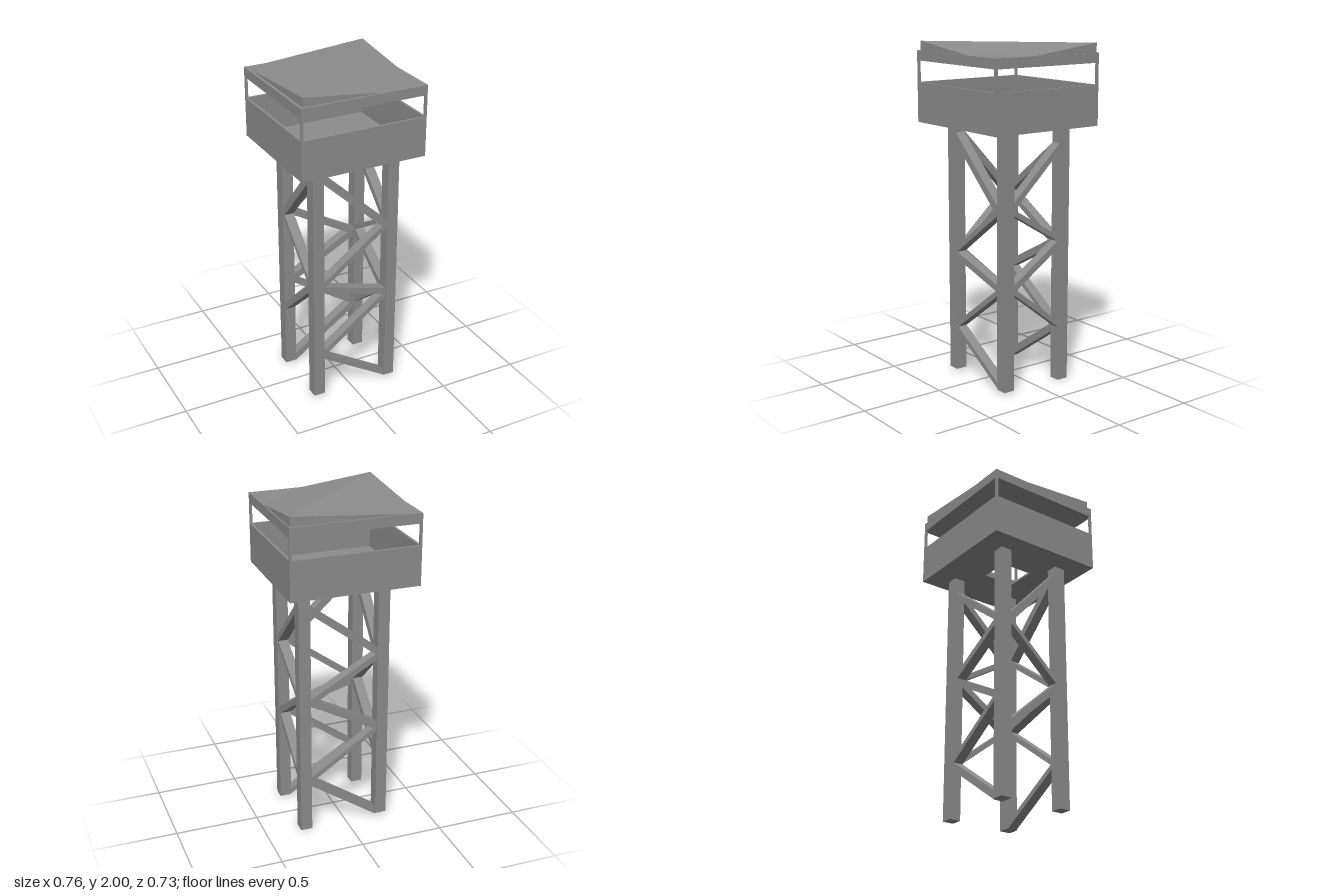
import * as THREE from 'three';

export function createModel() {
  const model = new THREE.Group();
  const gray = new THREE.MeshStandardMaterial({ color: 0x8c8c8c, flatShading: true });
  gray.name = 'weathered gray';

  const add = (name, geometry) => {
    const mesh = new THREE.Mesh(geometry, gray);
    mesh.name = name;
    model.add(mesh);
    return mesh;
  };
  // Box given by its minimum and maximum corners
  const block = (name, x0, x1, y0, y1, z0, z1) => {
    const mesh = add(name, new THREE.BoxGeometry(x1 - x0, y1 - y0, z1 - z0));
    mesh.position.set((x0 + x1) / 2, (y0 + y1) / 2, (z0 + z1) / 2);
    return mesh;
  };

  // Legs
  const LX = -0.225, RX = 0.255, FZ = 0.205, BZ = -0.195, H = 0.035;
  for (const [name, x, z, foot] of [
    ['frontLeftLeg', RX, FZ, 0.012], ['frontRightLeg', LX, FZ, 0.017],
    ['backLeftLeg', RX, BZ, 0], ['backRightLeg', LX, BZ, 0.015],
  ]) block(name, x - H, x + H, foot, 1.535, z - H, z + H);

  // Diagonal braces: heights at both inner leg faces, then bar thickness
  const DEPTH = 0.06;
  const brace = (name, from, to, thick) => {
    const a = new THREE.Vector3(...from), b = new THREE.Vector3(...to);
    const dir = b.clone().sub(a);
    const mesh = add(name, new THREE.BoxGeometry(DEPTH, thick, dir.length() + 0.03));
    mesh.position.copy(a).add(b).multiplyScalar(0.5);
    mesh.lookAt(mesh.position.clone().add(dir));
  };
  const xBraces = (name, z, rows) => rows.forEach(([y0, y1, t]) =>
    brace(name, [LX + H, y0, z], [RX - H, y1, z], t));
  const zBraces = (name, x, rows) => rows.forEach(([y0, y1, t]) =>
    brace(name, [x, y0, FZ - H], [x, y1, BZ + H], t));

  xBraces('frontBrace', FZ, [
    [1.45, 1.07, 0.045], [0.77, 1.07, 0.03], [0.74, 0.62, 0.04], [0.3, 0.6, 0.03], [0.28, 0.03, 0.03],
  ]);
  xBraces('backBrace', BZ, [
    [1.1, 1.41, 0.038], [1.07, 0.84, 0.035], [0.62, 0.84, 0.042], [0.6, 0.33, 0.028], [0.035, 0.315, 0.042],
  ]);
  zBraces('leftBrace', RX, [
    [1.1, 1.41, 0.035], [1.07, 0.87, 0.03], [0.62, 0.84, 0.038], [0.61, 0.35, 0.03],
  ]);
  zBraces('rightBrace', LX, [
    [1.45, 1.09, 0.045], [0.77, 1.07, 0.026], [0.74, 0.44, 0.042],
  ]);

  // Cabin floor with a square hatch
  const X0 = -0.385, X1 = 0.38, Z0 = -0.363, Z1 = 0.365, W = 0.014;
  const rect = (shape, x0, x1, y0, y1) => {
    shape.moveTo(x0, y0);
    shape.lineTo(x1, y0);
    shape.lineTo(x1, y1);
    shape.lineTo(x0, y1);
    shape.closePath();
    return shape;
  };
  const floorShape = rect(new THREE.Shape(), X0 + W, X1 - W, -Z1 + W, -Z0 - W);
  floorShape.holes.push(rect(new THREE.Path(), -0.1, 0.08, -0.1, 0.1));
  const floor = add('cabinFloor', new THREE.ExtrudeGeometry(floorShape, { depth: 0.012, bevelEnabled: false }));
  floor.rotation.x = -Math.PI / 2;
  floor.position.y = 1.527;

  // Parapet walls
  const Y0 = 1.527, SILL = 1.762, HEAD = 1.887, TOP = 1.945;
  block('frontWall', X0, X1, Y0, SILL, Z1 - W, Z1);
  block('backWall', X0, X1, Y0, SILL, Z0, Z0 + W);
  block('leftWall', X1 - W, X1, Y0, SILL, Z0 + W, Z1 - W);
  block('rightWall', X0, X0 + W, Y0, SILL, Z0 + W, Z1 - W);

  // Slim corner posts between the open windows
  for (const x of [X0, X1 - W]) for (const z of [Z0, Z1 - W])
    block('cornerPost', x, x + W, SILL, HEAD, z, z + W);

  // Head band closing the cabin top
  block('headBand', X0, X1, HEAD, TOP, Z0, Z1);

  // Warped roof folded along its high diagonal
  const roof = new THREE.BoxGeometry(0.74, 1, 0.703);
  const p = roof.attributes.position;
  for (let i = 0; i < p.count; i++) {
    const sx = Math.sign(p.getX(i)), sz = Math.sign(p.getZ(i));
    const high = sx !== sz ? 2 : sx > 0 ? 1.913 : 1.94;
    p.setY(i, p.getY(i) > 0 ? high : 1.9);
  }
  roof.translate(0.002, 0, -0.001);
  roof.computeVertexNormals();
  add('roof', roof);

  return model;
}
